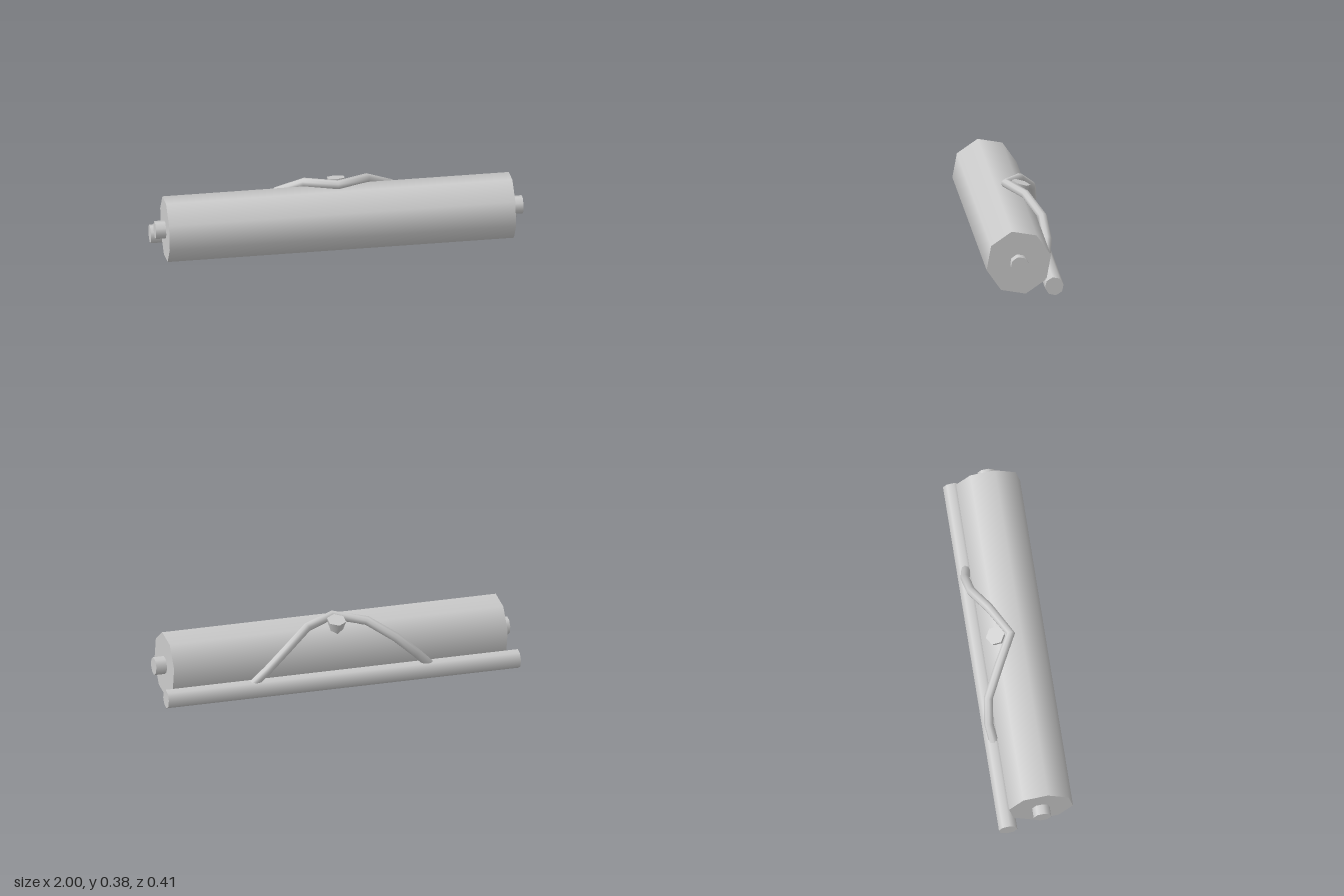
import * as THREE from 'three';

const material = new THREE.MeshStandardMaterial({ color: 0xcccccc, side: THREE.DoubleSide });

function add(group, name, geometry) {
  const mesh = new THREE.Mesh(geometry, material);
  mesh.name = name;
  group.add(mesh);
  return mesh;
}

// Eight-sided bar along x from x0 to x1, with its first corner at the given angle in the z-y plane
function bar(group, name, x0, x1, y, z, radius, degrees) {
  const geometry = new THREE.CylinderGeometry(radius, radius, x1 - x0, 8);
  geometry.rotateZ(-Math.PI / 2);
  geometry.rotateX(-THREE.MathUtils.degToRad(degrees));
  geometry.translate((x0 + x1) / 2, y, z);
  return add(group, name, geometry);
}

// Path through points with one tube ring at each point
class BentPath extends THREE.Curve {
  constructor(points) {
    super();
    this.points = points;
  }
  getPoint(t, target = new THREE.Vector3()) {
    const n = this.points.length - 1;
    const i = Math.min(Math.floor(t * n + 1e-6), n - 1);
    return target.lerpVectors(this.points[i], this.points[i + 1], t * n - i);
  }
  getPointAt(t, target) {
    return this.getPoint(t, target);
  }
  getTangentAt(t, target = new THREE.Vector3()) {
    const n = this.points.length - 1;
    const i = Math.round(t * n);
    const p = this.points;
    target.set(0, 0, 0);
    if (i > 0) target.add(p[i].clone().sub(p[i - 1]).normalize());
    if (i < n) target.add(p[i + 1].clone().sub(p[i]).normalize());
    return target.normalize();
  }
}

export function createModel() {
  const group = new THREE.Group();
  group.name = 'rolledScroll';

  // Thick roll, its core showing at both ends, and the rod behind it
  bar(group, 'roll', -0.945, 0.94, 0.176, 0.0325, 0.178, 77.8);
  bar(group, 'core', -1, 1, 0.175, 0.032, 0.049, 78);
  bar(group, 'rod', -1, 0.99, 0.053, -0.155, 0.051, 80);

  // Cord from the rod, over the peg and back to the rod
  const half = [
    [0, 0.36, 0.011],
    [0.17, 0.342, -0.08],
    [0.31, 0.257, -0.157],
    [0.42, 0.16, -0.172],
    [0.51, 0.07, -0.155],
  ];
  const right = half.slice(1).reverse().map(([x, y, z]) => new THREE.Vector3(-x, y, z));
  const left = half.map((p) => new THREE.Vector3(...p));
  const path = new BentPath([...right, ...left]);
  add(group, 'cord', new THREE.TubeGeometry(path, path.points.length - 1, 0.025, 8));

  // Tapered six-sided peg, leaning back out of the roll
  const pegShape = new THREE.CylinderGeometry(0.053, 0.03, 0.1, 6);
  pegShape.translate(0, -0.05, 0);
  const peg = add(group, 'peg', pegShape);
  peg.rotation.x = -0.29;
  peg.position.set(0, 0.363, -0.073);

  return group;
}
